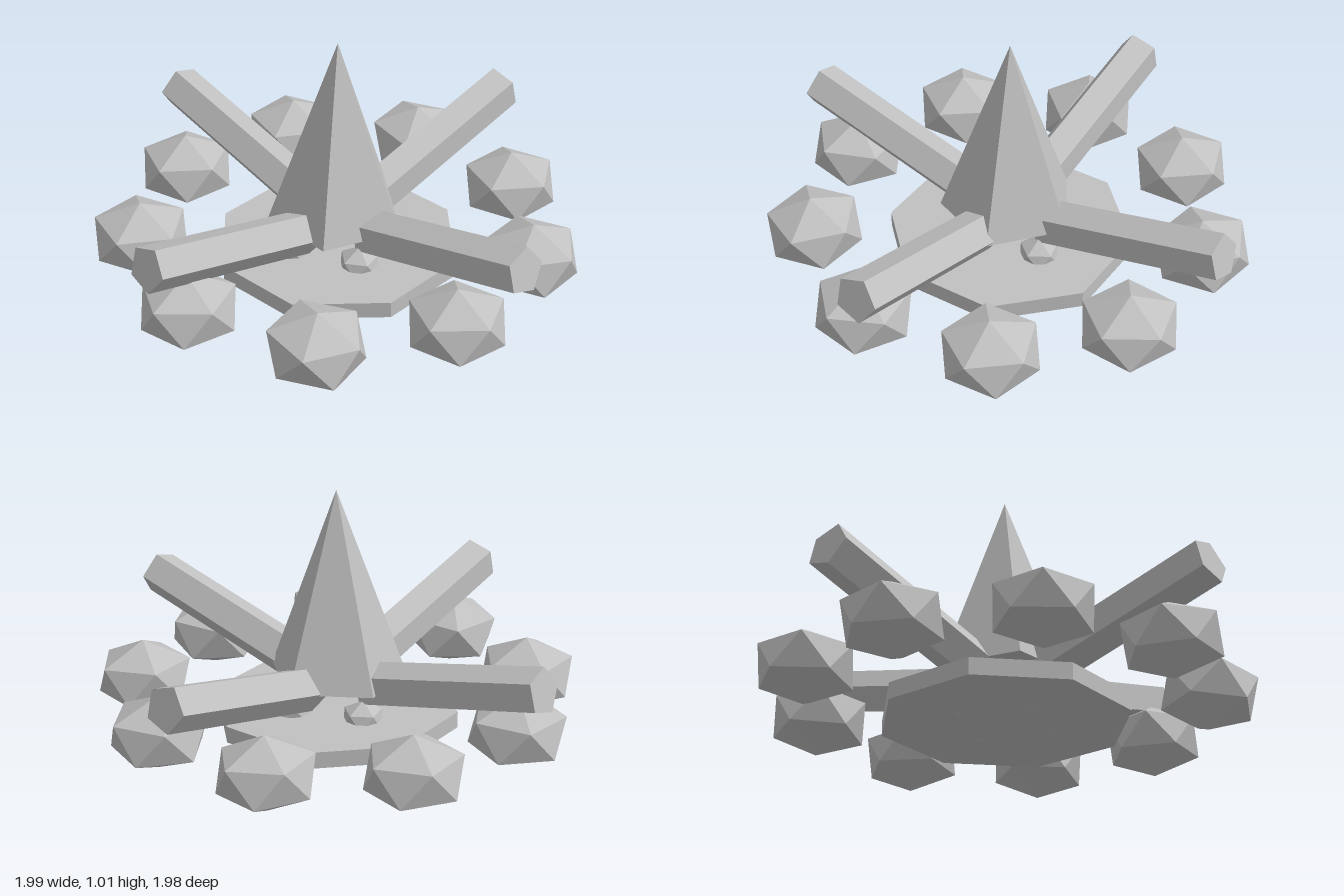
import * as THREE from 'three';

const grey = new THREE.MeshStandardMaterial({ color: 0xc0c0c0, flatShading: true });
grey.name = 'plain grey';

function add(parent, name, geometry) {
  const mesh = new THREE.Mesh(geometry, grey);
  mesh.name = name;
  parent.add(mesh);
  return mesh;
}

// Twenty-sided rock with one corner straight up and one ring corner towards +x
function rock(radius, height) {
  const g = new THREE.IcosahedronGeometry(radius, 0);
  g.rotateZ(-Math.atan(2 / (1 + Math.sqrt(5))));
  g.scale(1, height / (2 * radius), 1);
  return g;
}

// Place a mesh on a circle around the fire
function onRing(mesh, radius, angle, y) {
  mesh.position.set(radius * Math.cos(angle), y, radius * Math.sin(angle));
}

export function createModel() {
  const model = new THREE.Group();
  model.name = 'campfire';
  const fire = new THREE.Group();
  fire.name = 'fire';
  fire.position.x = -0.013;
  model.add(fire);

  // Flat octagonal bed of ash
  add(fire, 'ashBed', new THREE.CylinderGeometry(0.513, 0.513, 0.07, 8)).position.y = 0.065;

  // Five-sided flame
  const flame = add(fire, 'flame', new THREE.ConeGeometry(0.29, 0.795, 5));
  flame.position.y = 0.6175;
  flame.rotation.y = Math.PI;

  // Stone ring, each stone turned and tilted a little
  const turns = [0, 0.12, -0.1, 0.25, -0.15, 0.08, -0.05, 0.1, 0.2];
  turns.forEach((turn, i) => {
    const stone = add(fire, 'stone', rock(0.215, 0.31));
    onRing(stone, 0.815, (i * Math.PI * 2) / 9, 0.155);
    stone.rotation.set(turn * 0.3, turn, 0);
  });

  // Embers half sunk in the ash
  for (let i = 0; i < 4; i++) {
    const ember = add(fire, 'ember', rock(0.09, 0.155));
    onRing(ember, 0.21, (i * Math.PI) / 2, 0.1);
    ember.rotation.y = (-i * Math.PI) / 2;
  }

  // Four five-sided logs rising outwards
  const tilt = 0.25;
  const inner = 0.17, outer = 1.007;
  const middle = (inner + outer) / 2;
  const logGeometry = new THREE.CylinderGeometry(0.096, 0.096, (outer - inner) / Math.cos(tilt), 5);
  logGeometry.rotateY(Math.PI);
  logGeometry.rotateZ(tilt - Math.PI / 2);
  logGeometry.translate(middle, 0.17 + middle * Math.tan(tilt), 0);
  for (let i = 0; i < 4; i++) {
    add(fire, 'log', logGeometry).rotation.y = 0.35 + (i * Math.PI) / 2;
  }

  return model;
}
